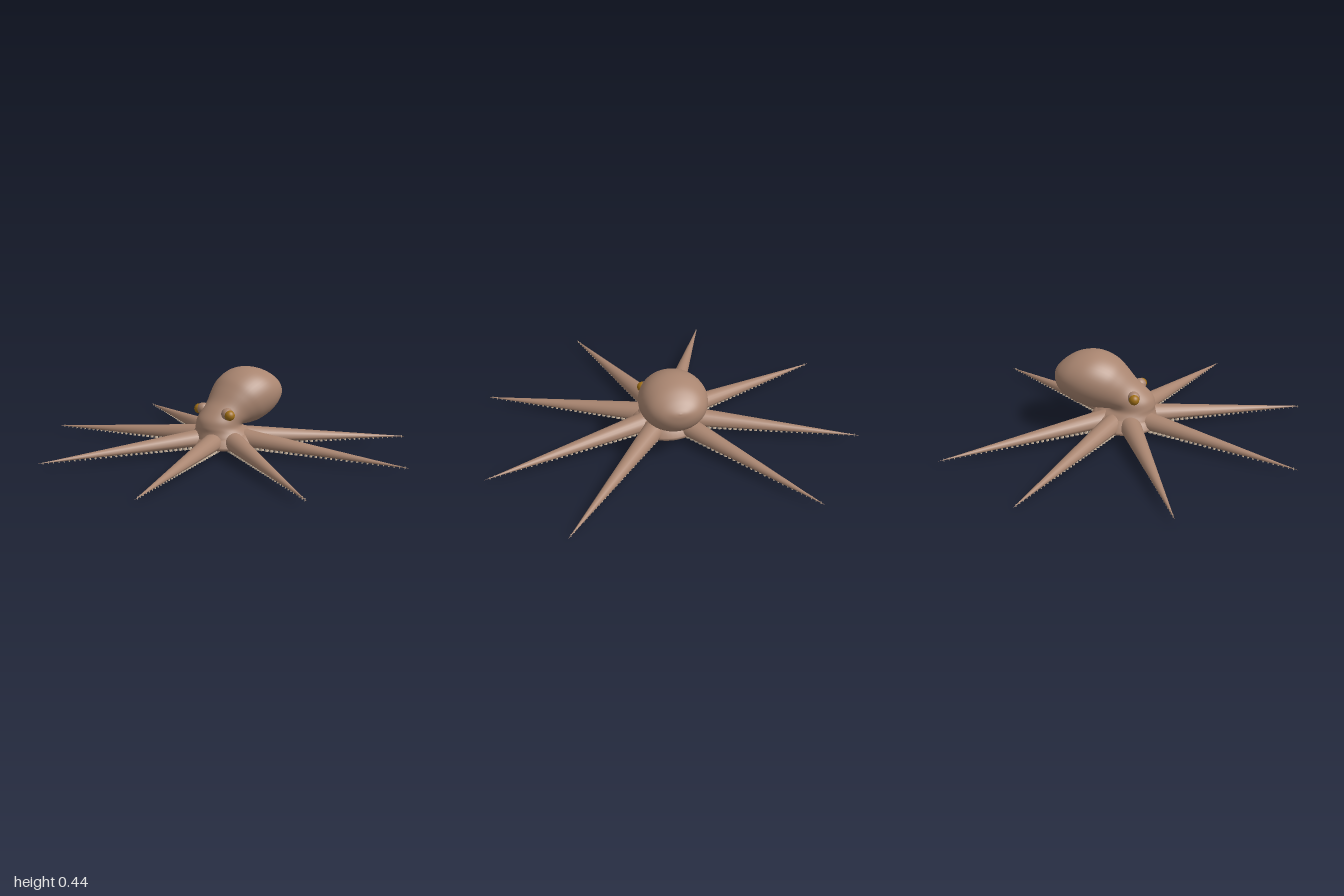
import * as THREE from 'three';
import { mergeGeometries } from 'three/addons/utils/BufferGeometryUtils.js';

// Smooth skin over closed rings of equal point count (counter-clockwise about the path)
function loft(rings) {
  const n = rings[0].length, index = [];
  for (let i = 0; i < rings.length - 1; i++) {
    for (let j = 0; j < n; j++) {
      const k = (j + 1) % n, a = i * n, b = a + n;
      index.push(a + j, a + k, b + j, a + k, b + k, b + j);
    }
  }
  const g = new THREE.BufferGeometry().setFromPoints(rings.flat());
  g.setIndex(index);
  g.computeVertexNormals();
  return g;
}

const ring = (n, fn) => Array.from({ length: n }, (_, j) => fn((j / n) * Math.PI * 2));

// Head and mantle: each station is front [y, z], back [y, z], half width
const STATIONS = [
  [0.04, 0.12, 0.04, -0.25, 0.175],
  [0.085, 0.113, 0.085, -0.24, 0.168],
  [0.125, 0.104, 0.115, -0.205, 0.142],
  [0.155, 0.105, 0.13, -0.17, 0.125],
  [0.195, 0.092, 0.137, -0.155, 0.121],
  [0.24, 0.05, 0.135, -0.16, 0.124],
  [0.285, 0, 0.13, -0.19, 0.135],
  [0.345, -0.05, 0.13, -0.22, 0.155],
  [0.395, -0.1, 0.135, -0.26, 0.172],
  [0.43, -0.17, 0.155, -0.32, 0.18],
  [0.44, -0.24, 0.185, -0.375, 0.172],
  [0.425, -0.32, 0.225, -0.42, 0.145],
  [0.39, -0.385, 0.27, -0.442, 0.1],
  [0.355, -0.425, 0.312, -0.446, 0.045],
  [0.336, -0.441, 0.336, -0.441, 0],
];

function bodyGeometry() {
  const curve = (fn) => new THREE.CatmullRomCurve3(STATIONS.map(fn), false, 'catmullrom');
  const front = curve((s) => new THREE.Vector3(s[4], s[0], s[1]));
  const back = curve((s) => new THREE.Vector3(s[4], s[2], s[3]));
  const rings = [], steps = 70;
  for (let i = 0; i <= steps; i++) {
    const f = front.getPoint(i / steps), b = back.getPoint(i / steps);
    rings.push(ring(48, (a) => {
      const m = (1 + Math.cos(a)) / 2;
      return new THREE.Vector3(f.x * Math.sin(a), b.y + (f.y - b.y) * m, b.z + (f.z - b.z) * m);
    }));
  }
  return loft(rings);
}

// Arm along +z: rounded above, flatter below, tapering straight to a point
const armWidth = (t) => 0.069 * (1 - t);

function armGeometry(length) {
  const rings = [], steps = 24;
  for (let i = 0; i <= steps; i++) {
    const t = 0.06 + 0.94 * (i / steps), w = armWidth(t), h = 0.108 * (1 - t);
    rings.push(ring(20, (a) => {
      const s = Math.sin(a);
      return new THREE.Vector3(w * Math.cos(a), 0.033 + h * (0.38 + s * (s > 0 ? 0.62 : 0.38)), t * length);
    }));
  }
  return loft(rings);
}

// Two rows of cups that shrink toward the tip
function suckerGeometry(length) {
  const cups = [];
  for (let i = 0; i < 32; i++) {
    const t = 0.15 + 0.82 * (i / 31), w = armWidth(t), r = Math.max(0.24 * w, 0.002);
    for (const side of [-1, 1]) {
      const cup = new THREE.CylinderGeometry(r * 0.8, r, 0.014, 10);
      cup.translate(side * w * 0.46, 0.034, t * length);
      cups.push(cup);
    }
  }
  return mergeGeometries(cups);
}

export function createModel() {
  const skin = new THREE.MeshStandardMaterial({ color: 0xa98570 });
  skin.name = 'skin';
  const cup = new THREE.MeshStandardMaterial({ color: 0xc8b49e });
  cup.name = 'sucker';
  const gold = new THREE.MeshStandardMaterial({ color: 0xa06f16 });
  gold.name = 'eye gold';

  const model = new THREE.Group();
  model.name = 'octopus';
  const add = (parent, name, geometry, material) => {
    const mesh = new THREE.Mesh(geometry, material);
    mesh.name = name;
    parent.add(mesh);
    return mesh;
  };

  add(model, 'headAndMantle', bodyGeometry(), skin);

  // Web joining the arms, with a shallow cone underneath
  const profile = [[0, 0], [0.03, 0.004], [0.09, 0.02], [0.15, 0.032], [0.185, 0.037], [0.2, 0.045],
    [0.197, 0.058], [0.18, 0.085], [0.16, 0.105], [0.12, 0.12], [0, 0.125]];
  const web = add(model, 'web',
    new THREE.LatheGeometry(profile.map(([x, y]) => new THREE.Vector2(x, y)), 48), skin);
  web.position.z = -0.065;

  // Four mirrored pairs of arms, given by their tips
  const tips = [[0.39, 0.9], [0.957, 0.357], [1, -0.397], [0.63, -0.908]];
  for (const side of [-1, 1]) {
    tips.forEach(([x, z], i) => {
      const arm = new THREE.Group(), length = Math.hypot(x, z + 0.065);
      arm.name = (side > 0 ? 'left' : 'right') + 'Arm' + (i + 1);
      arm.position.z = -0.065;
      arm.rotation.y = Math.atan2(side * x, z + 0.065);
      add(arm, 'armFlesh', armGeometry(length), skin);
      add(arm, 'suckers', suckerGeometry(length), cup);
      model.add(arm);
    });

    // Eye set in a low fleshy socket
    const name = side > 0 ? 'left' : 'right';
    const socket = add(model, name + 'EyeSocket', new THREE.SphereGeometry(0.034, 20, 14), skin);
    socket.position.set(side * 0.094, 0.225, 0.004);
    const eye = add(model, name + 'Eye', new THREE.SphereGeometry(0.028, 24, 16), gold);
    eye.position.set(side * 0.118, 0.223, 0.011);
  }
  return model;
}
